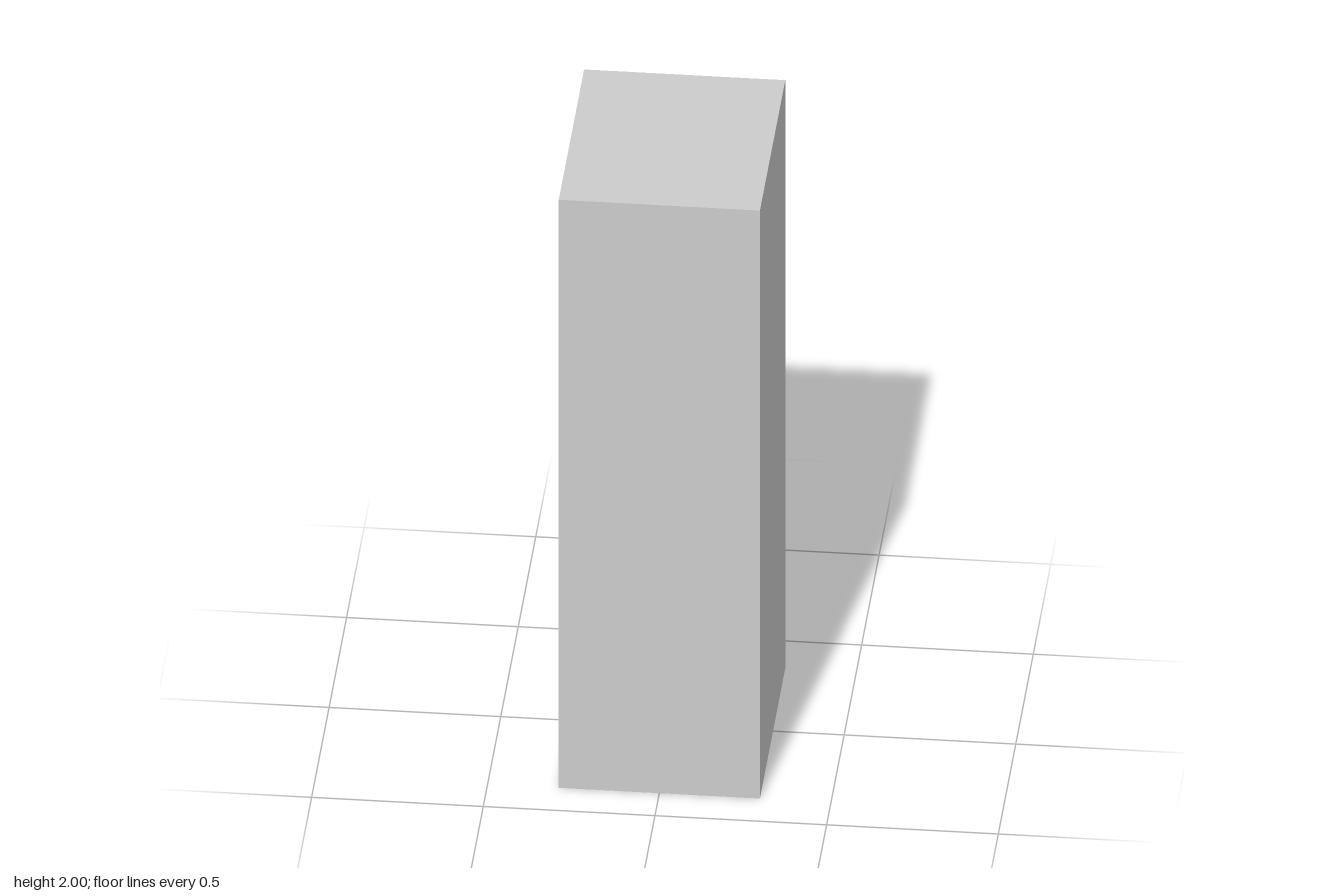
import * as THREE from 'three';

const W = 0.293, H = 2, FRONT = 0.375, BACK = -0.36, BEVEL = 0.01;
const NICHE = { left: 0.23, right: -0.27, bottom: 1.2, top: 1.965, radius: 0.035 };

// Flat-shaded geometry from a list of four-cornered faces
function quadGeometry(quads) {
  const pos = [];
  for (const [a, b, c, d] of quads) pos.push(...a, ...b, ...c, ...a, ...c, ...d);
  const geometry = new THREE.BufferGeometry();
  geometry.setAttribute('position', new THREE.Float32BufferAttribute(pos, 3));
  geometry.computeVertexNormals();
  return geometry;
}

// Height of the rounded niche corner at a given x
function cornerInset(x) {
  const r = NICHE.radius;
  const d = Math.min(NICHE.left - x, x - NICHE.right);
  return d >= r ? 0 : r - Math.sqrt(Math.max(0, r * r - (r - d) ** 2));
}

// Horizontal section of the niche, from the model's left to its right
const section = [
  [0.23, BACK], [0.23, -0.292], [0.222, -0.279], [0.195, -0.268],
  [0.1, -0.252], [-0.02, -0.245], [-0.14, -0.25],
  [-0.22, -0.262], [-0.25, -0.275], [-0.265, -0.29], [-0.27, -0.305], [-0.27, BACK],
];

export function createModel() {
  const group = new THREE.Group();
  const grey = new THREE.MeshStandardMaterial({ color: 0xcccccc });
  grey.name = 'light grey';

  function add(name, geometry) {
    const mesh = new THREE.Mesh(geometry, grey);
    mesh.name = name;
    group.add(mesh);
    return mesh;
  }

  // Cabinet: front, four sides and the bevel around the back
  const rect = (z, i) => [
    [-W + i, i, z], [W - i, i, z], [W - i, H - i, z], [-W + i, H - i, z],
  ];
  const loops = [rect(FRONT, 0), rect(BACK + BEVEL, 0), rect(BACK, BEVEL)];
  const shell = [loops[0]];
  for (let k = 0; k < 2; k++) {
    for (let i = 0; i < 4; i++) {
      const j = (i + 1) % 4;
      shell.push([loops[k + 1][i], loops[k + 1][j], loops[k][j], loops[k][i]]);
    }
  }
  add('cabinet', quadGeometry(shell));

  // Back panel with the niche opening cut out
  const panel = new THREE.Shape(loops[2].map(([x, y]) => new THREE.Vector2(x, y)));
  const columns = section.slice(1, -1).map(([x]) => x);
  const opening = [
    ...columns.map((x) => new THREE.Vector2(-x, NICHE.bottom + cornerInset(x))),
    ...columns.slice().reverse().map((x) => new THREE.Vector2(-x, NICHE.top - cornerInset(x))),
  ];
  panel.holes.push(new THREE.Path(opening));
  add('backPanel', new THREE.ShapeGeometry(panel).rotateY(Math.PI).translate(0, 0, BACK));

  // Niche: bowed inner wall, floor and ceiling
  const wall = [], floor = [], ceiling = [];
  for (let i = 0; i < section.length - 1; i++) {
    const [x0, z0] = section[i], [x1, z1] = section[i + 1];
    const b0 = NICHE.bottom + cornerInset(x0), b1 = NICHE.bottom + cornerInset(x1);
    const t0 = NICHE.top - cornerInset(x0), t1 = NICHE.top - cornerInset(x1);
    wall.push([[x0, b0, z0], [x1, b1, z1], [x1, t1, z1], [x0, t0, z0]]);
    if (x0 === x1) continue;
    floor.push([[x0, b0, BACK], [x1, b1, BACK], [x1, b1, z1], [x0, b0, z0]]);
    ceiling.push([[x0, t0, z0], [x1, t1, z1], [x1, t1, BACK], [x0, t0, BACK]]);
  }
  add('nicheWall', quadGeometry(wall));
  add('nicheFloor', quadGeometry(floor));
  add('nicheCeiling', quadGeometry(ceiling));

  // Raised hatch low on the back
  add('hatch', new THREE.BoxGeometry(0.345, 0.3, 0.015)).position.set(-0.0175, 0.315, BACK - 0.0075);

  return group;
}
